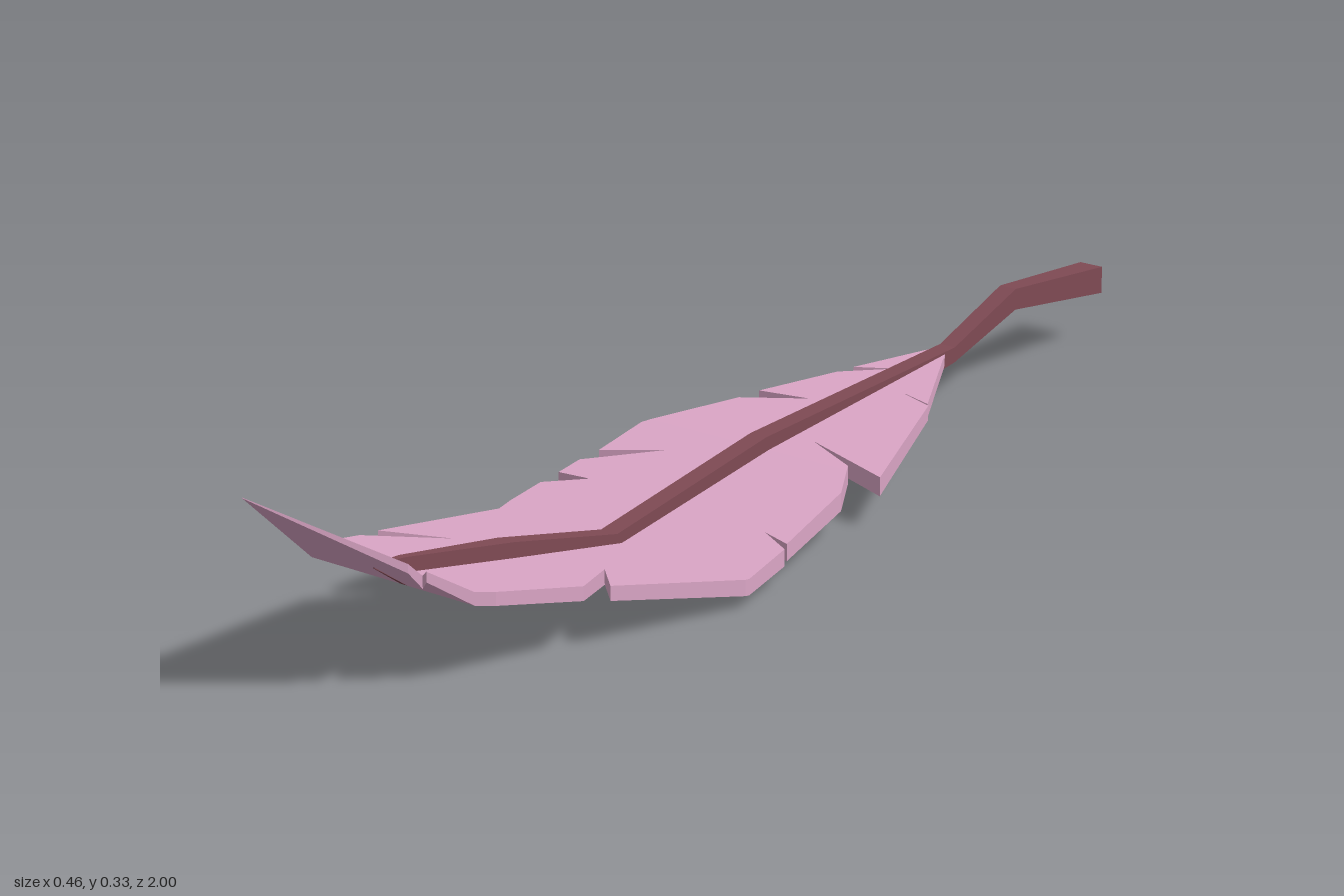
import * as THREE from 'three';

// Vane outline seen from above as [x, z]: base, down the right-hand edge to the tip, back along the left-hand edge
const OUTLINE = [
  [-0.02, -0.59], [-0.09, -0.43], [-0.03, -0.46], [-0.1, -0.4], [-0.155, -0.27], [-0.07, -0.285],
  [-0.165, -0.23], [-0.23, -0.07], [-0.225, 0.04], [-0.135, -0.01], [-0.23, 0.08], [-0.23, 0.13],
  [-0.175, 0.125], [-0.232, 0.17], [-0.232, 0.24], [-0.2, 0.57], [-0.12, 0.5], [-0.19, 0.62],
  [-0.18, 0.73], [-0.05, 1], [0.075, 0.82], [0.03, 0.74], [0.085, 0.795], [0.125, 0.7],
  [0.155, 0.55], [0.1, 0.435], [0.17, 0.51], [0.23, 0.28], [0.217, 0.17], [0.16, 0.14],
  [0.21, 0.155], [0.18, -0.02], [0.135, -0.1], [0.035, -0.15], [0.2, -0.09], [0.1, -0.36],
  [0.03, -0.385], [0.095, -0.365], [0, -0.55],
];

// Bend of the vane: [z, underside y, upper y]
const BEND = [[-0.59, 0.085, 0.103], [-0.085, 0.05, 0.08], [0.27, 0.018, 0.043], [0.73, 0.125, 0.145], [1, 0.325, 0.326]];

function heightAt(z, side) {
  let i = 0;
  while (i < BEND.length - 2 && z > BEND[i + 1][0]) i++;
  const a = BEND[i], b = BEND[i + 1];
  return THREE.MathUtils.mapLinear(z, a[0], b[0], a[side], b[side]);
}

// Keep the part of a polygon with sign * (z - limit) >= 0
function clip(poly, limit, sign) {
  const out = [];
  poly.forEach((a, i) => {
    const b = poly[(i + 1) % poly.length];
    const da = sign * (a[1] - limit), db = sign * (b[1] - limit);
    if (da >= 0) out.push(a);
    if (da * db < 0) out.push([a[0] + (b[0] - a[0]) * da / (da - db), limit]);
  });
  return out;
}

function geometryFrom(positions) {
  const g = new THREE.BufferGeometry();
  g.setAttribute('position', new THREE.Float32BufferAttribute(positions, 3));
  g.computeVertexNormals();
  return g;
}

// Thin slab folded along the crease lines, with notched edges
function vaneGeometry() {
  const pos = [];
  const point = (p, side) => [p[0], heightAt(p[1], side), p[1]];
  const tri = (a, b, c) => pos.push(...a, ...b, ...c);
  for (let i = 0; i < BEND.length - 1; i++) {
    const z0 = BEND[i][0], z1 = BEND[i + 1][0];
    const band = clip(clip(OUTLINE, z0, 1), z1, -1);
    const contour = band.map(p => new THREE.Vector2(p[0], p[1]));
    for (const face of THREE.ShapeUtils.triangulateShape(contour, [])) {
      let [a, b, c] = face.map(k => band[k]);
      if ((b[1] - a[1]) * (c[0] - a[0]) - (b[0] - a[0]) * (c[1] - a[1]) < 0) [b, c] = [c, b];
      tri(point(a, 2), point(b, 2), point(c, 2));
      tri(point(a, 1), point(c, 1), point(b, 1));
    }
    // Rim, leaving out the shared crease lines
    band.forEach((a, k) => {
      const b = band[(k + 1) % band.length];
      if (a[1] === b[1] && (a[1] === z0 || a[1] === z1)) return;
      tri(point(a, 1), point(b, 1), point(b, 2));
      tri(point(a, 1), point(b, 2), point(a, 2));
    });
  }
  return geometryFrom(pos);
}

// Square-section quill: [z, underside y, upper y, x min, x max]
const QUILL = [
  [-1, 0.085, 0.13, -0.037, 0.005], [-0.75, 0.122, 0.157, -0.03, 0],
  [-0.58, 0.08, 0.105, -0.029, -0.001], [-0.08, 0.038, 0.102, -0.03, 0],
  [0.28, 0, 0.06, -0.03, 0], [0.51, 0.047, 0.12, -0.03, -0.001],
  [0.73, 0.125, 0.167, -0.019, -0.006], [0.79, 0.168, 0.175, -0.014, -0.011],
];

function quillGeometry() {
  const pos = [];
  const rings = QUILL.map(([z, y0, y1, x0, x1]) => [[x0, y0, z], [x1, y0, z], [x1, y1, z], [x0, y1, z]]);
  const quad = (a, b, c, d) => pos.push(...a, ...b, ...c, ...a, ...c, ...d);
  for (let i = 0; i < rings.length - 1; i++) {
    const r = rings[i], s = rings[i + 1];
    for (let k = 0; k < 4; k++) {
      const n = (k + 1) % 4;
      quad(r[k], r[n], s[n], s[k]);
    }
  }
  const [a, b, c, d] = rings[0];
  quad(d, c, b, a);
  quad(...rings[rings.length - 1]);
  return geometryFrom(pos);
}

export function createModel() {
  const feather = new THREE.Group();
  feather.name = 'feather';
  const add = (name, geometry, color) => {
    const mesh = new THREE.Mesh(geometry, new THREE.MeshStandardMaterial({ color, flatShading: true }));
    mesh.name = name;
    feather.add(mesh);
  };
  add('vane', vaneGeometry(), 0xdba6c6);
  add('quill', quillGeometry(), 0x7f4a54);
  return feather;
}
